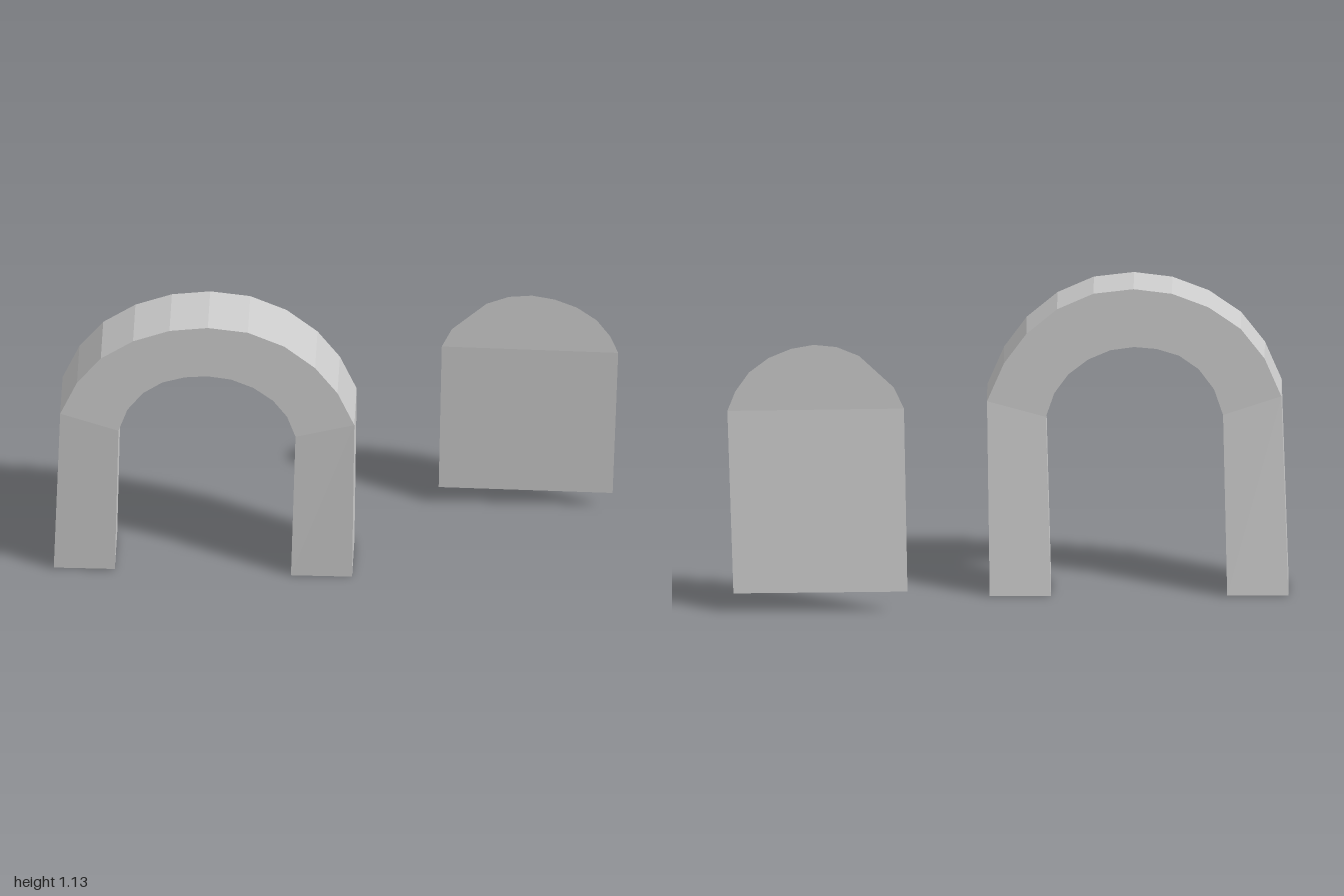
import * as THREE from 'three';

const material = new THREE.MeshStandardMaterial({ color: 0xcccccc, flatShading: true, side: THREE.DoubleSide });

function makeMesh(name, positions, indices) {
  const indexed = new THREE.BufferGeometry();
  indexed.setAttribute('position', new THREE.Float32BufferAttribute(positions, 3));
  indexed.setIndex(indices);
  const geometry = indexed.toNonIndexed();
  geometry.computeVertexNormals();
  const mesh = new THREE.Mesh(geometry, material);
  mesh.name = name;
  return mesh;
}

// Arch: rectangular cross-sections swept from the right foot to the left foot
function makeArch() {
  // outer x, outer y, inner x, inner y
  const sections = [
    [-1.0, 0.005, -0.782, 0.005],
    [-0.975, 0.73, -0.767, 0.66],
    [-0.915, 0.87, -0.735, 0.755],
    [-0.83, 0.98, -0.68, 0.83],
    [-0.715, 1.06, -0.61, 0.88],
    [-0.585, 1.11, -0.53, 0.905],
    [-0.448, 1.127, -0.45, 0.912],
    [-0.305, 1.11, -0.365, 0.9],
    [-0.175, 1.052, -0.285, 0.865],
    [-0.065, 0.96, -0.215, 0.81],
    [0.015, 0.85, -0.165, 0.74],
    [0.075, 0.71, -0.135, 0.652],
    [0.065, 0, -0.153, 0],
  ];
  const positions = [];
  const indices = [];
  const last = sections.length - 1;
  sections.forEach(([ox, oy, ix, iy], i) => {
    // The feet lean backwards; everything above the springing stands upright
    const lean = i === 0 ? -0.053 : i === last ? -0.047 : 0;
    const front = 0.243 + lean;
    const back = 0.024 + lean;
    positions.push(ox, oy, front, ix, iy, front, ix, iy, back, ox, oy, back);
    if (i === last) return;
    for (let k = 0; k < 4; k++) {
      const a = i * 4 + k;
      const b = i * 4 + (k + 1) % 4;
      indices.push(a, b, b + 4, a, b + 4, a + 4);
    }
  });
  // Soles of the two feet
  const e = last * 4;
  indices.push(0, 2, 1, 0, 3, 2, e, e + 1, e + 2, e, e + 2, e + 3);
  return makeMesh('arch', positions, indices);
}

// Panel: thin round-topped sheet whose lower part leans backwards
function makePanel() {
  const outline = [
    [0.37, 0.745], [0.357, 0.08], [0.978, 0.072], [1.0, 0.735], [0.972, 0.807],
    [0.923, 0.878], [0.853, 0.932], [0.773, 0.966], [0.692, 0.981],
    [0.61, 0.973], [0.53, 0.94], [0.406, 0.823],
  ];
  const positions = outline.flatMap(([x, y]) => [x, y, y < 0.1 ? -0.243 : -0.191]);
  const indices = [];
  for (let i = 1; i < outline.length - 1; i++) indices.push(0, i, i + 1);
  return makeMesh('panel', positions, indices);
}

export function createModel() {
  const group = new THREE.Group();
  group.name = 'archAndPanel';
  group.add(makeArch(), makePanel());
  return group;
}
